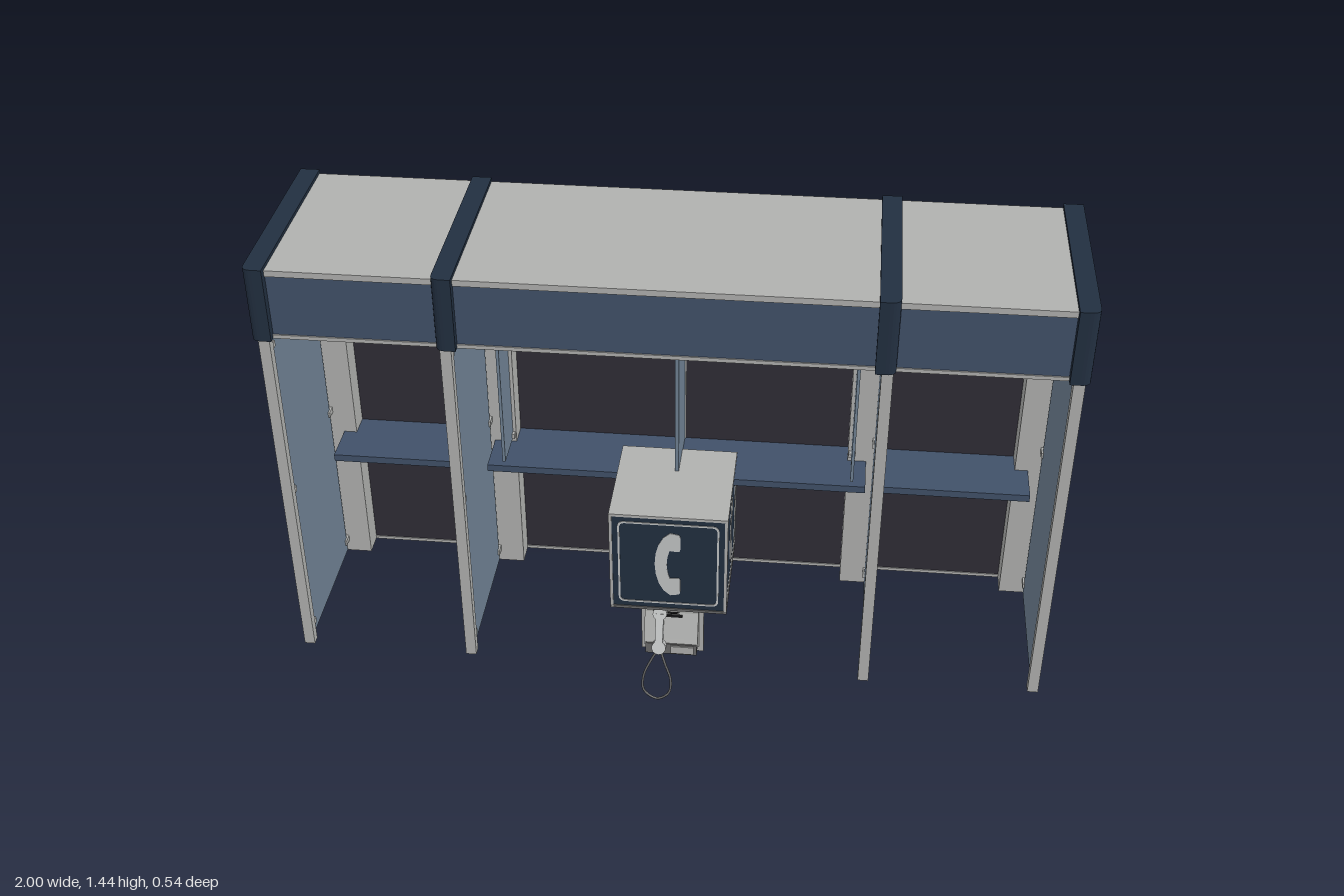
import * as THREE from 'three';

const mat = (name, color, side = THREE.FrontSide) => {
  const m = new THREE.MeshStandardMaterial({ color, side });
  m.name = name;
  return m;
};

export function createModel() {
  const grey = mat('light grey metal', 0xb0b1af);
  const navy = mat('navy band', 0x222f40);
  const blue = mat('slate blue', 0x415169);
  const glass = mat('tinted glass', 0x708294);
  const dark = mat('dark panel', 0x2f2d36);
  const black = mat('black rubber', 0x1c1c1e);
  const mid = mat('mid grey', 0x6a6a6a);
  const pale = mat('pale sign paint', 0xc4c6c6);

  const model = new THREE.Group();
  model.name = 'phoneShelter';

  const add = (parent, name, geo, material, x = 0, y = 0, z = 0) => {
    const m = new THREE.Mesh(geo, material);
    m.name = name;
    m.position.set(x, y, z);
    parent.add(m);
    return m;
  };
  // Box given by its limits on each axis
  const box = (parent, name, material, [x0, x1], [y0, y1], [z0, z1]) =>
    add(parent, name, new THREE.BoxGeometry(x1 - x0, y1 - y0, z1 - z0), material,
      (x0 + x1) / 2, (y0 + y1) / 2, (z0 + z1) / 2);
  const span = (c, w) => [c - w / 2, c + w / 2];
  const mirrorSpan = (s, a, b) => (s > 0 ? [a, b] : [-b, -a]);

  // Canopy
  box(model, 'canopyRoof', grey, [-0.97, 0.97], [1.42, 1.436], [-0.265, 0.25]);
  box(model, 'canopyCeiling', grey, [-0.97, 0.97], [1.25, 1.26], [-0.262, 0.25]);
  box(model, 'canopyBack', grey, [-0.97, 0.97], [1.25, 1.43], [-0.265, -0.25]);
  box(model, 'canopyFascia', blue, [-0.97, 0.97], [1.26, 1.42], [0.225, 0.246]);

  // Navy bands, with the outward front edge rounded
  const bandShape = (w) => {
    const s = new THREE.Shape();
    s.moveTo(0, 0.27).lineTo(0, -0.245);
    s.quadraticCurveTo(0, -0.267, 0.025, -0.267);
    s.lineTo(w, -0.267).lineTo(w, 0.27).closePath();
    return new THREE.ExtrudeGeometry(s, { depth: 0.195, bevelEnabled: false, curveSegments: 6 });
  };
  for (const s of [-1, 1]) {
    for (const outer of [1, 0.549]) {
      const geo = bandShape(0.05);
      geo.rotateX(-Math.PI / 2);
      if (s > 0) {
        // Mirror across x and restore the face order
        geo.scale(-1, 1, 1);
        for (const a of Object.values(geo.attributes)) {
          for (let i = 0; i < a.count; i += 3) {
            for (let k = 0; k < a.itemSize; k++) {
              const j = (i + 1) * a.itemSize + k, l = (i + 2) * a.itemSize + k;
              [a.array[j], a.array[l]] = [a.array[l], a.array[j]];
            }
          }
        }
        geo.computeVertexNormals();
      }
      add(model, 'canopyBand', geo, navy, s * outer, 1.25, 0);
    }
  }

  // Posts, side glass and clips
  for (const s of [-1, 1]) {
    const bays = [
      { back: [0.905, 0.993], front: [0.962, 0.99], pane: 0.976 },
      { back: [0.455, 0.545], front: [0.515, 0.543], pane: 0.529 },
    ];
    for (const b of bays) {
      box(model, 'backPost', grey, mirrorSpan(s, ...b.back), [0.275, 1.25], [-0.26, -0.17]);
      box(model, 'frontPost', grey, mirrorSpan(s, ...b.front), [0.275, 1.25], [0.222, 0.247]);
      box(model, 'sideGlass', glass, span(s * b.pane, 0.01), [0.285, 1.235], [-0.158, 0.21]);
      for (const y of [0.32, 0.765, 1.205]) {
        box(model, 'glassClip', grey, span(s * b.pane, 0.02), span(y, 0.016), [0.198, 0.228]);
        box(model, 'glassClip', grey, span(s * b.pane, 0.02), span(y, 0.016), [-0.175, -0.142]);
      }
    }
    // Back wall panels
    box(model, 'backPanel', dark, mirrorSpan(s, 0.54, 0.91), [0.283, 1.252], [-0.25, -0.235]);
    box(model, 'backPanel', dark, mirrorSpan(s, 0.006, 0.46), [0.283, 1.252], [-0.25, -0.235]);
    // Outer shelves and small upright fins
    box(model, 'sideShelf', blue, mirrorSpan(s, 0.54, 0.94), [0.675, 0.695], [-0.235, -0.055]);
    box(model, 'shelfFin', glass, span(s * 0.468, 0.008), [0.71, 1.19], [-0.2, -0.05]);
    for (const y of [0.72, 1.18]) {
      box(model, 'finClip', grey, span(s * 0.466, 0.018), span(y, 0.014), [-0.18, -0.155]);
    }
  }
  box(model, 'backMullion', grey, [-0.008, 0.008], [0.275, 1.25], [-0.254, -0.232]);
  box(model, 'backBottomRail', grey, [-0.92, 0.92], [0.275, 0.284], [-0.254, -0.232]);
  box(model, 'backTopRail', grey, [-0.92, 0.92], [1.242, 1.25], [-0.254, -0.232]);
  box(model, 'middleShelf', blue, [-0.515, 0.505], [0.675, 0.695], [-0.235, -0.05]);
  box(model, 'middleFin', glass, [-0.005, 0.005], [0.695, 1.2], [-0.235, -0.06]);

  // Sign cube
  const cube = new THREE.Group();
  cube.name = 'signCube';
  cube.position.set(-0.002, 0.5475, -0.008);
  model.add(cube);
  const H = 0.157;
  box(cube, 'cubeBody', navy, [-H + 0.003, H - 0.003], [-H + 0.004, H - 0.004], [-H + 0.003, H - 0.003]);
  box(cube, 'cubeLid', grey, [-H, H], [H - 0.008, H], [-H, H]);
  box(cube, 'cubeBase', mid, [-H, H], [-H, -H + 0.008], [-H, H]);
  box(cube, 'cubeBack', grey, [-H, H], [-H, H], [-H, -H + 0.004]);
  for (const x of [-1, 1]) for (const z of [-1, 1]) {
    box(cube, 'cubeEdge', grey, span(x * (H - 0.004), 0.008), [-H, H], span(z * (H - 0.004), 0.008));
  }

  // Painted sign: thin rounded outline and a handset pictogram
  const roundSquare = (path, h, r) => {
    path.moveTo(-h + r, -h).lineTo(h - r, -h).quadraticCurveTo(h, -h, h, -h + r);
    path.lineTo(h, h - r).quadraticCurveTo(h, h, h - r, h);
    path.lineTo(-h + r, h).quadraticCurveTo(-h, h, -h, h - r);
    path.lineTo(-h, -h + r).quadraticCurveTo(-h, -h, -h + r, -h);
    return path;
  };
  const outline = roundSquare(new THREE.Shape(), 0.134, 0.018);
  outline.holes.push(roundSquare(new THREE.Path(), 0.129, 0.015));
  const handset = new THREE.Shape();
  handset.moveTo(0.005, 0.104).lineTo(0.026, 0.1).quadraticCurveTo(0.032, 0.098, 0.032, 0.09);
  handset.lineTo(0.032, 0.052).quadraticCurveTo(0.031, 0.044, 0.024, 0.044).lineTo(0.004, 0.046);
  handset.quadraticCurveTo(-0.012, 0, 0.004, -0.046).lineTo(0.024, -0.044);
  handset.quadraticCurveTo(0.031, -0.044, 0.032, -0.052).lineTo(0.032, -0.09);
  handset.quadraticCurveTo(0.032, -0.098, 0.026, -0.1).lineTo(0.005, -0.104);
  handset.bezierCurveTo(-0.05, -0.075, -0.05, 0.075, 0.005, 0.104);
  const plate = { depth: 0.003, bevelEnabled: false, curveSegments: 8 };
  for (const turn of [-1, 0, 1]) {
    const sign = new THREE.Group();
    sign.name = 'signFace';
    sign.rotation.y = turn * Math.PI / 2;
    add(sign, 'signOutline', new THREE.ExtrudeGeometry(outline, plate), pale, 0, 0, H - 0.004);
    add(sign, 'signHandset', new THREE.ExtrudeGeometry(handset, plate), pale, 0, 0, H - 0.004);
    cube.add(sign);
  }

  // Telephone under the cube
  const phone = new THREE.Group();
  phone.name = 'telephone';
  model.add(phone);
  box(phone, 'phonePlate', grey, [-0.092, 0.083], [0.135, 0.385], [0, 0.012]);
  const wedge = new THREE.Shape();
  wedge.moveTo(-0.01, 0.15).lineTo(-0.065, 0.195).lineTo(-0.058, 0.212).lineTo(-0.03, 0.285);
  wedge.lineTo(-0.028, 0.375).lineTo(-0.01, 0.375).closePath();
  const body = new THREE.ExtrudeGeometry(wedge, { depth: 0.15, bevelEnabled: false });
  body.rotateY(Math.PI / 2);
  add(phone, 'phoneBody', body, grey, -0.08, 0, 0);
  // Tray, slots and keys on the front
  box(phone, 'phoneTray', mid, [-0.075, 0.068], [0.165, 0.2], [0.03, 0.067]);
  box(phone, 'coinCup', grey, [-0.005, 0.06], [0.17, 0.195], [0.05, 0.071]);
  box(phone, 'displayPanel', black, [-0.035, 0.03], [0.365, 0.385], [0.02, 0.034]);
  box(phone, 'cardSlot', black, [-0.03, 0.025], [0.274, 0.28], [0.02, 0.038]);
  box(phone, 'coinSlot', mid, [0.048, 0.056], [0.33, 0.36], [0.02, 0.033]);
  for (let i = 0; i < 3; i++) for (let j = 0; j < 2; j++) {
    box(phone, 'phoneKey', mid, span(-0.06 + i * 0.018, 0.01), span(0.338 + j * 0.017, 0.009), [0.02, 0.034]);
  }
  // Handset resting on the sloped front
  const rest = new THREE.Group();
  rest.name = 'handset';
  rest.position.set(-0.036, 0.245, 0.06);
  rest.rotation.x = -0.37;
  phone.add(rest);
  box(rest, 'handsetGrip', pale, [-0.011, 0.011], [-0.05, 0.05], [-0.002, 0.014]);
  for (const y of [-0.05, 0.05]) {
    const ear = add(rest, 'handsetEnd', new THREE.CylinderGeometry(0.02, 0.02, 0.024, 14), pale, 0, y, 0);
    ear.rotation.x = Math.PI / 2;
  }
  // Hanging cord
  const cord = new THREE.CatmullRomCurve3([
    [-0.036, 0.19, 0.075], [-0.055, 0.155, 0.078], [-0.08, 0.09, 0.083], [-0.078, 0.035, 0.083],
    [-0.042, 0.008, 0.083], [-0.01, 0.03, 0.083], [-0.003, 0.08, 0.082], [-0.02, 0.135, 0.075],
    [-0.035, 0.165, 0.05], [-0.04, 0.18, 0.03],
  ].map((p) => new THREE.Vector3(...p)));
  add(phone, 'phoneCord', new THREE.TubeGeometry(cord, 48, 0.0035, 6), mid);
  // Support column behind the plate
  add(phone, 'supportColumn', new THREE.CylinderGeometry(0.026, 0.026, 0.11, 20), grey, -0.003, 0.335, -0.025);
  add(phone, 'supportCollar', new THREE.CylinderGeometry(0.046, 0.04, 0.01, 20), black, -0.003, 0.282, -0.01);
  add(phone, 'supportFlange', new THREE.CylinderGeometry(0.046, 0.046, 0.01, 20), black, -0.003, 0.387, -0.025);

  return model;
}
